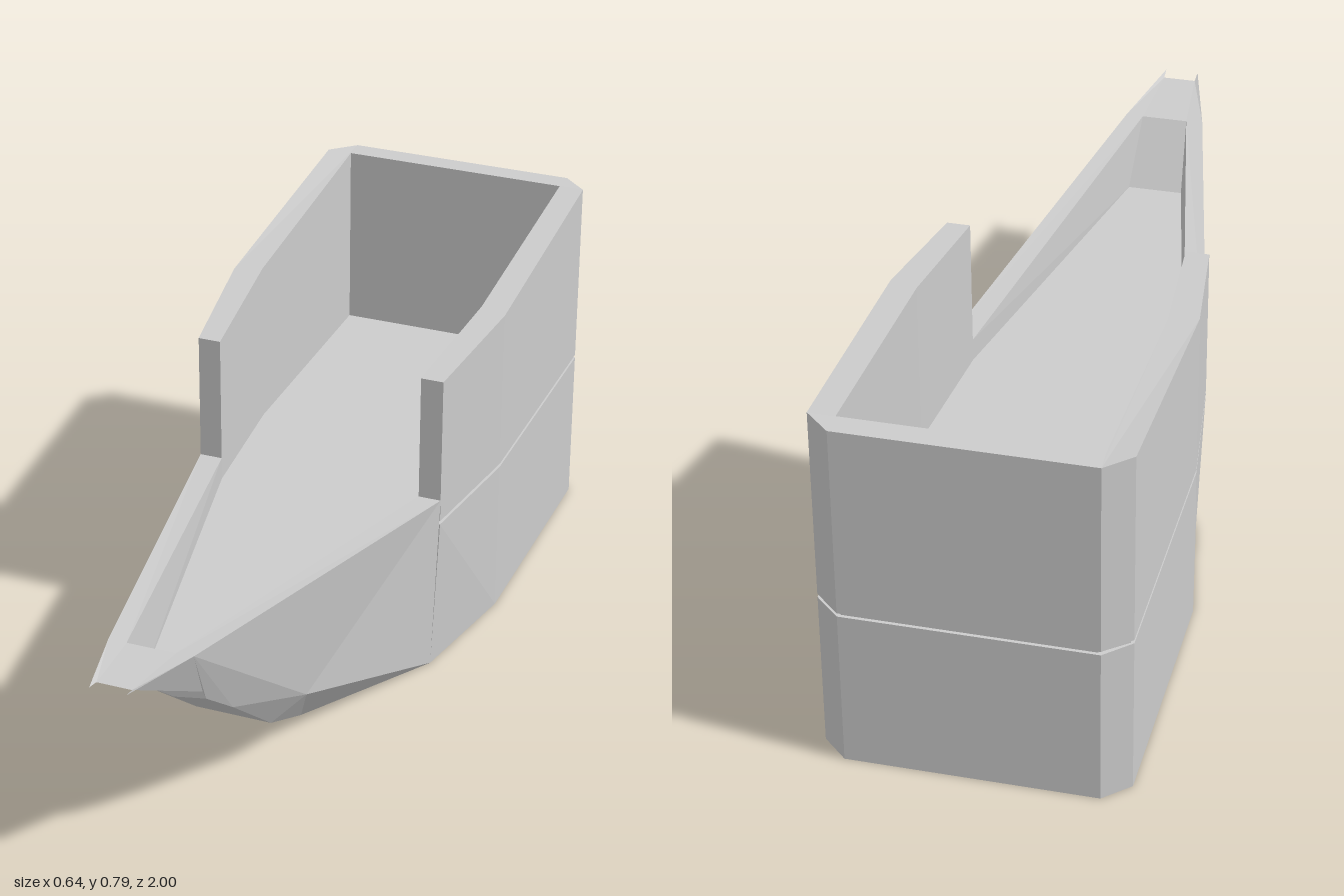
import * as THREE from 'three';

const material = new THREE.MeshStandardMaterial({ color: 0xcccccc, flatShading: true, side: THREE.DoubleSide });

// Outlines as [half width, z], from the bow end of the stern block to the transom
const OUTER = [[0.28, -0.09], [0.318, -0.38], [0.314, -0.95], [0.26, -1]];
const INNER = [[0.23, -0.09], [0.258, -0.4], [0.258, -0.95]];

const rightSide = (pts) => pts.map(([x, z]) => new THREE.Vector2(x, -z));
const leftSide = (pts) => pts.map(([x, z]) => new THREE.Vector2(-x, -z)).reverse();

// Extrude a plan outline upward from y = base
function slab(name, points, base, height) {
  const geo = new THREE.ExtrudeGeometry(new THREE.Shape(points), { depth: height, bevelEnabled: false });
  geo.rotateX(-Math.PI / 2).translate(0, base, 0);
  const mesh = new THREE.Mesh(geo, material);
  mesh.name = name;
  return mesh;
}

function moveVertices(mesh, rule) {
  const p = mesh.geometry.attributes.position;
  const v = new THREE.Vector3();
  for (let i = 0; i < p.count; i++) {
    rule(v.fromBufferAttribute(p, i));
    p.setXYZ(i, v.x, v.y, v.z);
  }
  mesh.geometry.computeVertexNormals();
  return mesh;
}

// Build convex faces for the +x side and mirror them to -x
function mirroredFaces(name, faces) {
  const pos = [];
  for (const f of faces) {
    for (let i = 1; i < f.length - 1; i++) {
      pos.push(...f[0], ...f[i], ...f[i + 1]);
      for (const [x, y, z] of [f[0], f[i + 1], f[i]]) pos.push(-x, y, z);
    }
  }
  const geo = new THREE.BufferGeometry();
  geo.setAttribute('position', new THREE.Float32BufferAttribute(pos, 3));
  geo.computeVertexNormals();
  const mesh = new THREE.Mesh(geo, material);
  mesh.name = name;
  return mesh;
}

export function createModel() {
  const model = new THREE.Group();
  model.name = 'boatHull';

  // Stern block, tapering slightly at the foot of its forward corners
  const outline = [...rightSide(OUTER), ...leftSide(OUTER)];
  const stern = moveVertices(slab('sternHull', outline, 0, 0.357), (v) => {
    if (v.y < 0.01 && v.z > -0.1) v.x *= 0.265 / 0.28;
  });

  // Recessed seam, whose top is the inner deck
  const inset = OUTER.map(([x, z]) => [x - 0.007, Math.max(z, -0.993)]);
  const seam = slab('seamAndDeck', [...rightSide(inset), ...leftSide(inset)], 0.357, 0.008);

  // U-shaped bulwark with a top edge rising to the stern
  const wallPlan = [...outline, ...leftSide(INNER).reverse(), ...rightSide(INNER).reverse()];
  const bulwark = moveVertices(slab('sternBulwark', wallPlan, 0.365, 0.4), (v) => {
    if (v.y > 0.5) v.y = 0.702 + 0.089 * Math.min(1, (-0.09 - v.z) / 0.86);
  });

  // Bow corners: gunwale, chine, keel edge, keel centre and raked stem
  const G = [[0.28, 0.416, -0.09], [0.09, 0.503, 0.8], [0.038, 0.522, 1]];
  const C = [[0.265, 0, -0.09], [0.145, 0.155, 0.35]];
  const K = [[0.085, 0.015, 0.23], [0.085, 0.1, 0.4], [0.085, 0.262, 0.6], [0.07, 0.34, 0.7]];
  const M = [[0, 0, 0.23], [0, 0.1, 0.4], [0, 0.265, 0.6], [0, 0.328, 0.7]];
  const B = [[0.063, 0.355, 0.7], [0.037, 0.516, 0.97]];
  const centre = ([, y, z]) => [0, y, z];

  const shell = mirroredFaces('bowShell', [
    [G[0], C[1], C[0]], [G[0], G[1], C[1]], [G[1], K[2], C[1]],
    [G[1], K[3], K[2]], [G[1], B[0], K[3]], [G[1], B[1], B[0]], [G[1], G[2], B[1]],
    [C[1], K[2], K[1]], [C[1], K[1], K[0]], [C[1], K[0], C[0]],
  ]);
  const keel = mirroredFaces('keelAndStem', [
    [B[1], centre(B[1]), centre(B[0]), B[0]],
    [B[0], centre(B[0]), M[3], K[3]],
    ...[2, 1, 0].map((i) => [K[i + 1], M[i + 1], M[i], K[i]]),
    [K[0], M[0], centre(C[0]), C[0]],
  ]);

  // Gunwale top, inner sides, deck and the ramp up to the bow
  const I = [[0.23, 0.416, -0.09], [0.052, 0.501, 0.8]];
  const F = [[0.23, 0.365, -0.09], [0.062, 0.365, 0.7]];
  const gunwale = mirroredFaces('bowGunwale', [
    [G[0], I[0], I[1], G[1]],
    [G[1], I[1], B[1], G[2]],
    [I[1], centre(I[1]), centre(B[1]), B[1]],
  ]);
  const well = mirroredFaces('bowDeck', [
    [I[0], F[0], F[1], I[1]],
    [F[0], centre(F[0]), centre(F[1]), F[1]],
    [F[1], centre(F[1]), centre(I[1]), I[1]],
  ]);

  model.add(stern, seam, bulwark, shell, keel, gunwale, well);
  return model;
}
